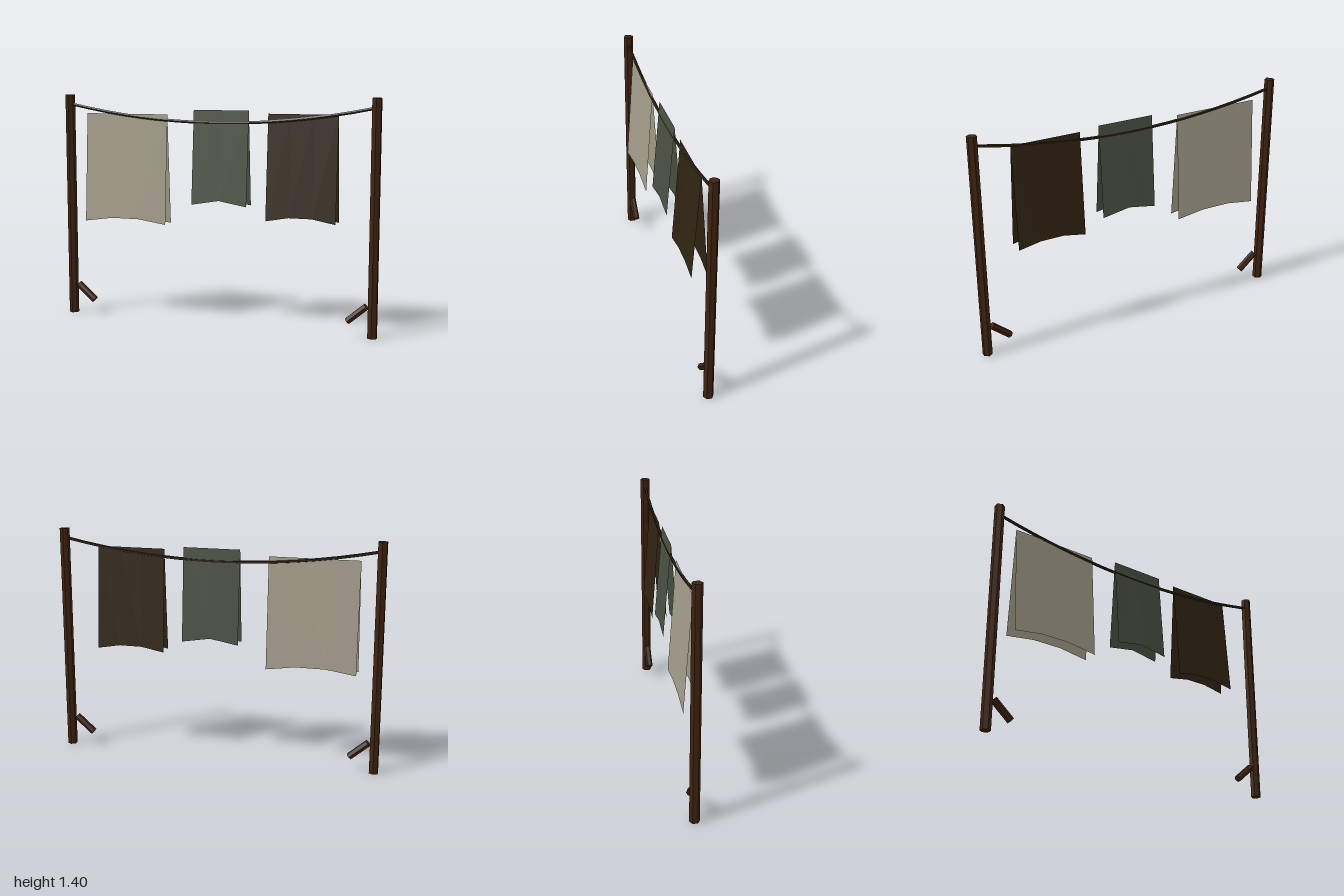
import * as THREE from 'three';

const wood = new THREE.MeshStandardMaterial({ color: 0x3e2310 });
wood.name = 'dark wood';
const ropeMat = new THREE.MeshStandardMaterial({ color: 0x2c2110 });
ropeMat.name = 'dark rope';
const linen = new THREE.MeshStandardMaterial({ color: 0xa39d8a });
linen.name = 'pale linen';
const green = new THREE.MeshStandardMaterial({ color: 0x4a5043 });
green.name = 'grey green cloth';
const brown = new THREE.MeshStandardMaterial({ color: 0x302411 });
brown.name = 'dark brown cloth';
for (const m of [linen, green, brown]) m.side = THREE.DoubleSide;

function add(parent, name, geometry, material) {
  const mesh = new THREE.Mesh(geometry, material);
  mesh.name = name;
  parent.add(mesh);
  return mesh;
}

// faceted geometry with hard edges
function faceted(geometry) {
  const g = geometry.toNonIndexed();
  g.computeVertexNormals();
  return g;
}

// One half of a folded cloth: flares outward from the fold, hem raised mid-way
function clothSheet(x0, x1, top, bottom, lift, columns, flare) {
  const g = new THREE.PlaneGeometry(x1 - x0, 1, columns, 1);
  const p = g.attributes.position;
  for (let i = 0; i < p.count; i++) {
    const column = i % (columns + 1);
    const hem = p.getY(i) < 0;
    const inner = column > 0 && column < columns;
    p.setXYZ(i, p.getX(i) + (x0 + x1) / 2,
      hem ? bottom + (inner ? lift : 0) : top,
      hem ? flare : 0);
  }
  return faceted(g);
}

export function createModel() {
  const model = new THREE.Group();
  model.name = 'clothesline';

  // Hexagonal posts with a short slanted brace at each foot
  for (const side of [-1, 1]) {
    const label = side > 0 ? 'left' : 'right';
    const post = add(model, label + 'Post',
      faceted(new THREE.CylinderGeometry(0.03, 0.03, 1.4, 6)), wood);
    post.position.set(side * 0.974, 0.7, 0);
    const brace = add(model, label + 'Brace',
      faceted(new THREE.CylinderGeometry(0.022, 0.022, 0.148, 6)), wood);
    brace.position.set(side * 0.88, 0.139, 0);
    brace.rotation.z = -side * 0.86;
  }

  // Sagging rope
  const sag = new THREE.QuadraticBezierCurve3(
    new THREE.Vector3(-0.96, 1.34, 0),
    new THREE.Vector3(0, 1.14, 0),
    new THREE.Vector3(0.96, 1.34, 0));
  add(model, 'rope', faceted(new THREE.TubeGeometry(sag, 16, 0.0095, 5)), ropeMat);

  // Cloths folded over the rope: x0, x1, top, bottom, hem lift, columns
  const cloths = [
    ['paleCloth', linen, -0.855, -0.313, 1.285, 0.61, 0.026, 3],
    ['greenCloth', green, -0.14, 0.21, 1.316, 0.744, 0.03, 2],
    ['brownCloth', brown, 0.33, 0.755, 1.3, 0.666, 0.026, 3],
  ];
  for (const [name, material, ...size] of cloths) {
    const cloth = new THREE.Group();
    cloth.name = name;
    add(cloth, 'frontSheet', clothSheet(...size, 0.046), material);
    add(cloth, 'backSheet', clothSheet(...size, -0.046), material);
    model.add(cloth);
  }
  return model;
}
